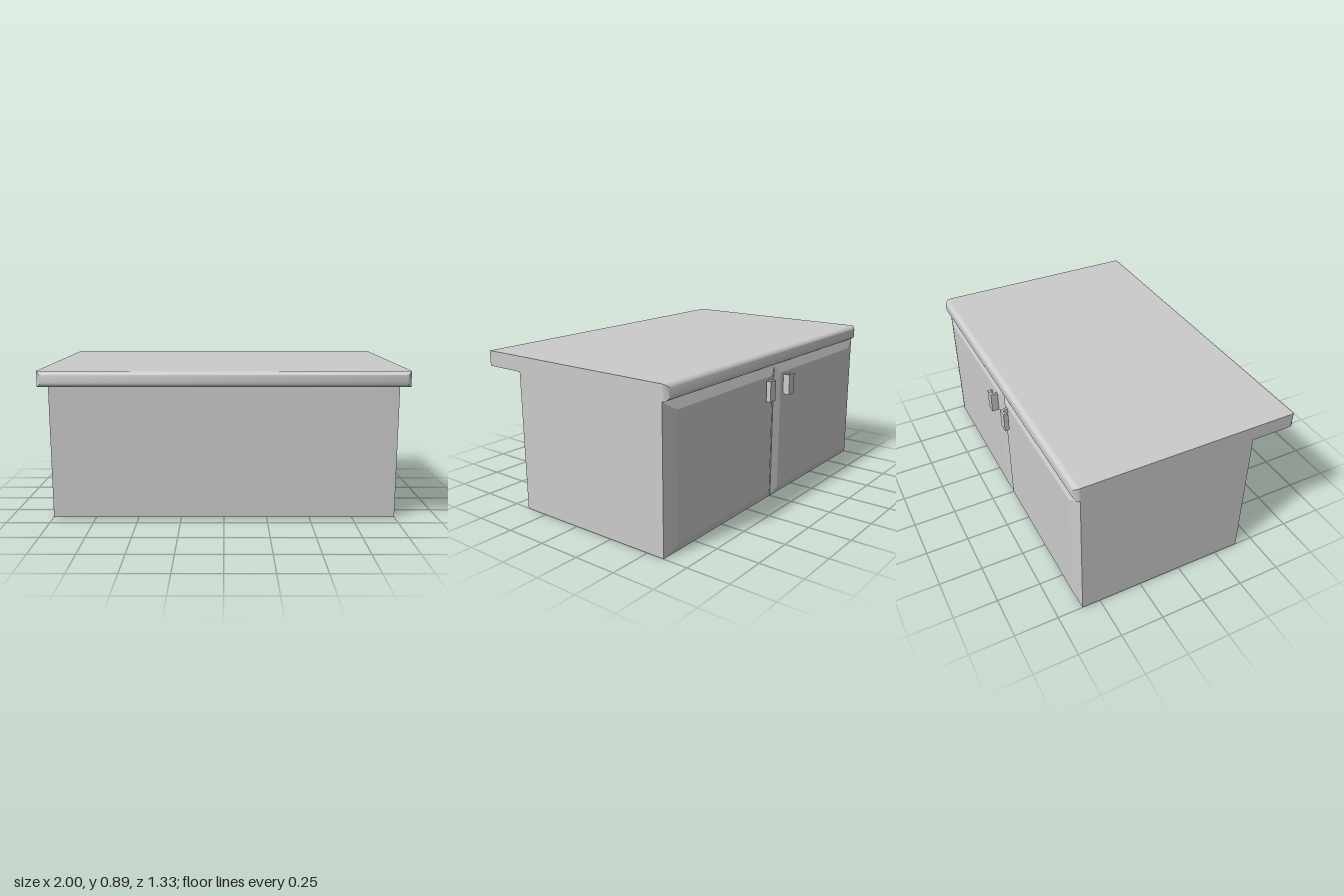
import * as THREE from 'three';
import { toCreasedNormals } from 'three/addons/utils/BufferGeometryUtils.js';

const material = new THREE.MeshStandardMaterial({ color: 0xcccccc });

function addMesh(parent, name, geometry) {
  const mesh = new THREE.Mesh(geometry, material);
  mesh.name = name;
  parent.add(mesh);
  return mesh;
}

// Box given by its minimum and maximum corners
function boxBetween([x0, y0, z0], [x1, y1, z1]) {
  return new THREE.BoxGeometry(x1 - x0, y1 - y0, z1 - z0)
    .translate((x0 + x1) / 2, (y0 + y1) / 2, (z0 + z1) / 2);
}

// Rounded strip along a long counter edge, drawn in (outward, y), ends tapering in
function noseGeometry(zStart, sign) {
  const depth = 0.03, low = 0.803, high = 0.89, r = 0.03;
  const s = new THREE.Shape();
  s.moveTo(0, low);
  s.absarc(0, low + r, r, -Math.PI / 2, 0, false);
  s.absarc(0, high - r, r, 0, Math.PI / 2, false);
  s.lineTo(0, low);
  let g = new THREE.ExtrudeGeometry(s, { depth: 2, bevelEnabled: false, curveSegments: 6 });
  g.translate(0, 0, -1);
  const p = g.attributes.position;
  for (let i = 0; i < p.count; i++) {
    const t = p.getX(i) / depth;
    p.setZ(i, p.getZ(i) * (1 - 0.025 * t * t));
  }
  g.rotateY(-Math.PI / 2); // outward direction becomes +z
  if (sign < 0) g.rotateY(Math.PI);
  g.translate(0, 0, zStart);
  return toCreasedNormals(g, 0.7);
}

// Door slab whose outer face is inset on all four sides
function doorGeometry(side) {
  const g = boxBetween([side < 0 ? -1 : 0, 0, -0.625], [side < 0 ? 0 : 1, 0.8, -0.605]);
  const p = g.attributes.position;
  for (let i = 0; i < p.count; i++) {
    if (p.getZ(i) > -0.615) continue;
    const outer = Math.abs(p.getX(i)) > 0.5;
    p.setX(i, side * (outer ? 0.91 : 0.045));
    p.setY(i, p.getY(i) > 0.4 ? 0.75 : 0.05);
  }
  g.computeVertexNormals();
  return g;
}

// Hooked pull: inner wall, face plate and short returning lip
function handleGeometry(side) {
  const pts = [[0.075, 0.622], [0.075, 0.665], [0.13, 0.665], [0.13, 0.638],
    [0.119, 0.638], [0.119, 0.653], [0.09, 0.653], [0.09, 0.622]];
  const s = new THREE.Shape(pts.map(([x, z]) => new THREE.Vector2(side * x, z)));
  const g = new THREE.ExtrudeGeometry(s, { depth: 0.118, bevelEnabled: false });
  return g.rotateX(-Math.PI / 2).translate(0, 0.616, 0);
}

export function createModel() {
  const model = new THREE.Group();
  model.name = 'kitchenIsland';

  // Cabinet
  addMesh(model, 'cabinetBody', boxBetween([-1, 0, -0.605], [1, 0.803, 0.395]));

  // Countertop overhanging the front
  const top = new THREE.Group();
  top.name = 'countertop';
  model.add(top);
  addMesh(top, 'counterSlab', boxBetween([-1, 0.803, -0.605], [1, 0.89, 0.635]));
  addMesh(top, 'frontCounterEdge', noseGeometry(0.635, 1));
  addMesh(top, 'backCounterEdge', noseGeometry(-0.605, -1));

  // Doors and handles on the back
  for (const side of [-1, 1]) {
    const label = side < 0 ? 'right' : 'left';
    addMesh(model, label + 'Door', doorGeometry(side));
    addMesh(model, label + 'Handle', handleGeometry(side));
  }
  return model;
}
